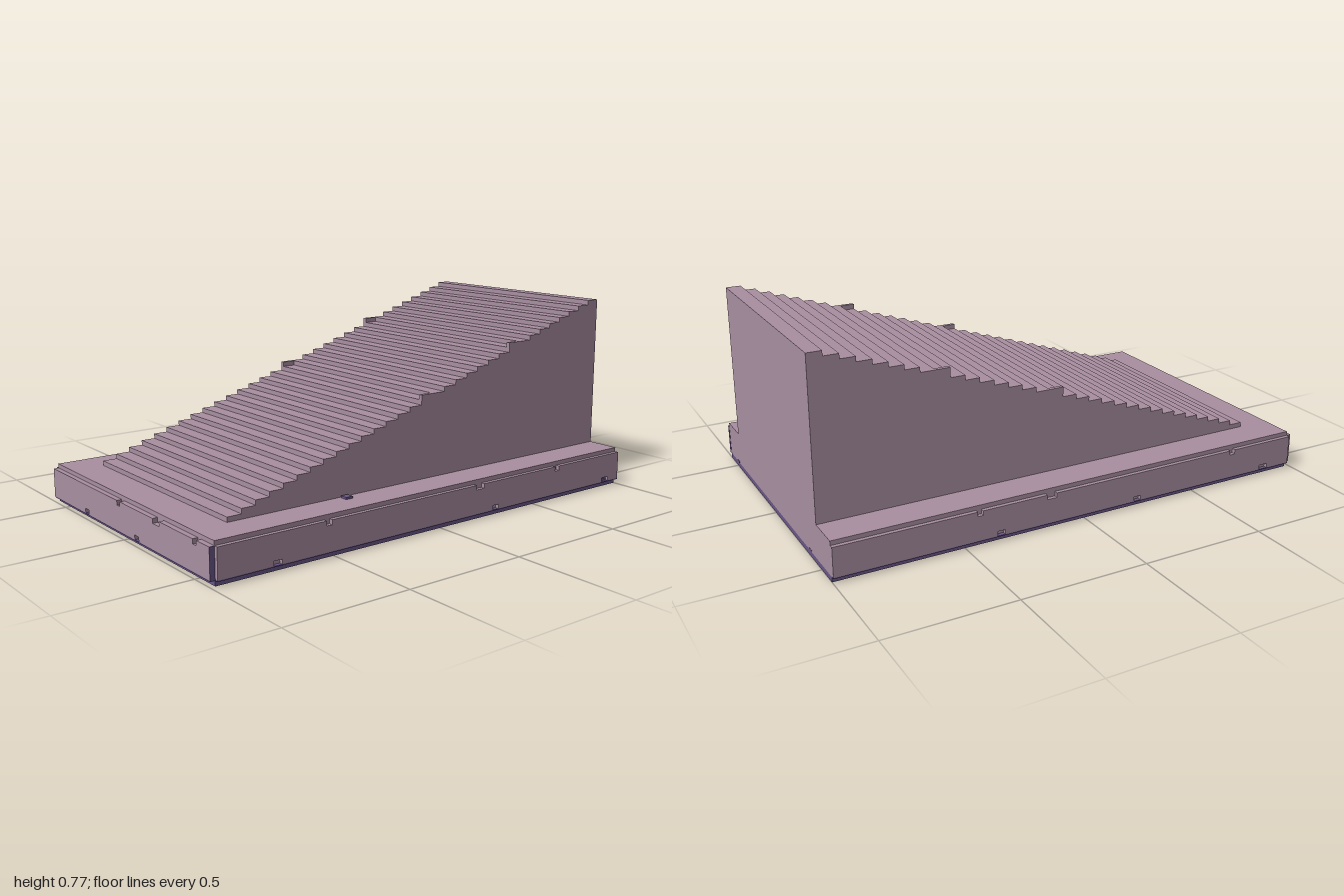
import * as THREE from 'three';

const stone = new THREE.MeshStandardMaterial({ color: 0xa98fa2 });
stone.name = 'mauveStone';
const under = new THREE.MeshStandardMaterial({ color: 0x6a5788 });
under.name = 'purpleUnderside';

const STEPS = 32, START = -0.848, RUN = (1 - START) / STEPS;
const LOW = 0.174, RISE = (0.772 - LOW) / (STEPS - 1);
const HALF = 0.463, BASE_TOP = 0.155;

export function createModel() {
  const group = new THREE.Group();

  const add = (name, geometry, material, x = 0, y = 0, z = 0) => {
    const mesh = new THREE.Mesh(geometry, material);
    mesh.name = name;
    mesh.position.set(x, y, z);
    group.add(mesh);
    return mesh;
  };
  // box given by its limits on each axis
  const block = (name, material, x0, x1, y0, y1, z0, z1) =>
    add(name, new THREE.BoxGeometry(x1 - x0, y1 - y0, z1 - z0), material,
      (x0 + x1) / 2, (y0 + y1) / 2, (z0 + z1) / 2);

  // upright facing slab with small chips along its edges: [centre, width]
  const facing = (u0, u1, topChips, bottomChips, depth) => {
    const y0 = 0.024, y1 = 0.138, cut = 0.018;
    const shape = new THREE.Shape();
    shape.moveTo(u0, y0);
    for (const [c, w] of bottomChips) {
      shape.lineTo(c - w / 2, y0);
      shape.lineTo(c - w / 2, y0 + cut);
      shape.lineTo(c + w / 2, y0 + cut);
      shape.lineTo(c + w / 2, y0);
    }
    shape.lineTo(u1, y0);
    shape.lineTo(u1, y1);
    for (const [c, w] of [...topChips].reverse()) {
      shape.lineTo(c + w / 2, y1);
      shape.lineTo(c + w / 2, y1 - cut);
      shape.lineTo(c - w / 2, y1 - cut);
      shape.lineTo(c - w / 2, y1);
    }
    shape.lineTo(u0, y1);
    return new THREE.ExtrudeGeometry(shape, { depth, bevelEnabled: false });
  };

  // base
  block('basePlate', under, -0.98, 1, 0, 0.02, -0.597, 0.597);
  block('baseSlab', stone, -0.98, 1, 0.02, BASE_TOP, -0.597, 0.597);

  // facings around three sides
  const frontBottom = [[-0.745, 0.035], [0.275, 0.03], [0.92, 0.04]];
  const backBottom = [[-0.85, 0.04], [-0.23, 0.03], [0.36, 0.03]];
  add('frontFacing', facing(-0.98, 1, [[-0.53, 0.024], [0.19, 0.04], [0.62, 0.022]], frontBottom, 0.016),
    stone, 0, 0, 0.597);
  add('backFacing', facing(-0.98, 1, [[-0.685, 0.024], [0.15, 0.04], [0.445, 0.022]], backBottom, 0.016),
    stone, 0, 0, -0.613);
  const end = add('endFacing', facing(-0.597, 0.597, [[-0.035, 0.022], [0.245, 0.045], [0.505, 0.022]],
    [[-0.3, 0.03], [0.1, 0.03]], 0.02), stone, -0.98);
  end.rotation.y = -Math.PI / 2;

  // purple lower edges and cut ends of the facings
  block('frontFacingFoot', under, -0.98, 1, 0.02, 0.024, 0.597, 0.613);
  block('backFacingFoot', under, -0.98, 1, 0.02, 0.024, -0.613, -0.597);
  block('endFacingFoot', under, -1, -0.98, 0.02, 0.024, -0.597, 0.597);
  block('frontFacingEnd', under, 0.999, 1.001, 0.02, 0.138, 0.597, 0.613);
  block('endFacingEnd', under, -1, -0.98, 0.02, 0.138, 0.596, 0.598);

  // small purple chips
  for (const [c, w] of frontBottom.slice(2)) {
    block('frontChip', under, c - w / 2, c + w / 2, 0.024, 0.034, 0.597, 0.601);
  }
  for (const z of [0.49, -0.39]) {
    block('endChip', under, 0.997, 1.001, 0.02, 0.027, z - 0.014, z + 0.014);
  }
  block('topChip', under, -0.37, -0.34, BASE_TOP, 0.163, 0.47, 0.5);

  // staircase
  const profile = new THREE.Shape();
  profile.moveTo(START, BASE_TOP);
  for (let i = 0; i < STEPS; i++) {
    const y = LOW + i * RISE;
    profile.lineTo(START + i * RUN, y);
    profile.lineTo(START + (i + 1) * RUN, y);
  }
  profile.lineTo(1, BASE_TOP);
  add('staircase', new THREE.ExtrudeGeometry(profile, { depth: HALF * 2, bevelEnabled: false }),
    stone, 0, 0, -HALF);

  // raised edge chips on two treads
  for (const i of [15, 23]) {
    const x = START + i * RUN, y = LOW + i * RISE;
    for (const s of [-1, 1]) {
      block('treadEdge', stone, x, x + RUN, y, y + RISE, s * HALF - 0.008 * (s + 1), s * HALF + 0.008 * (1 - s));
    }
  }
  return group;
}
